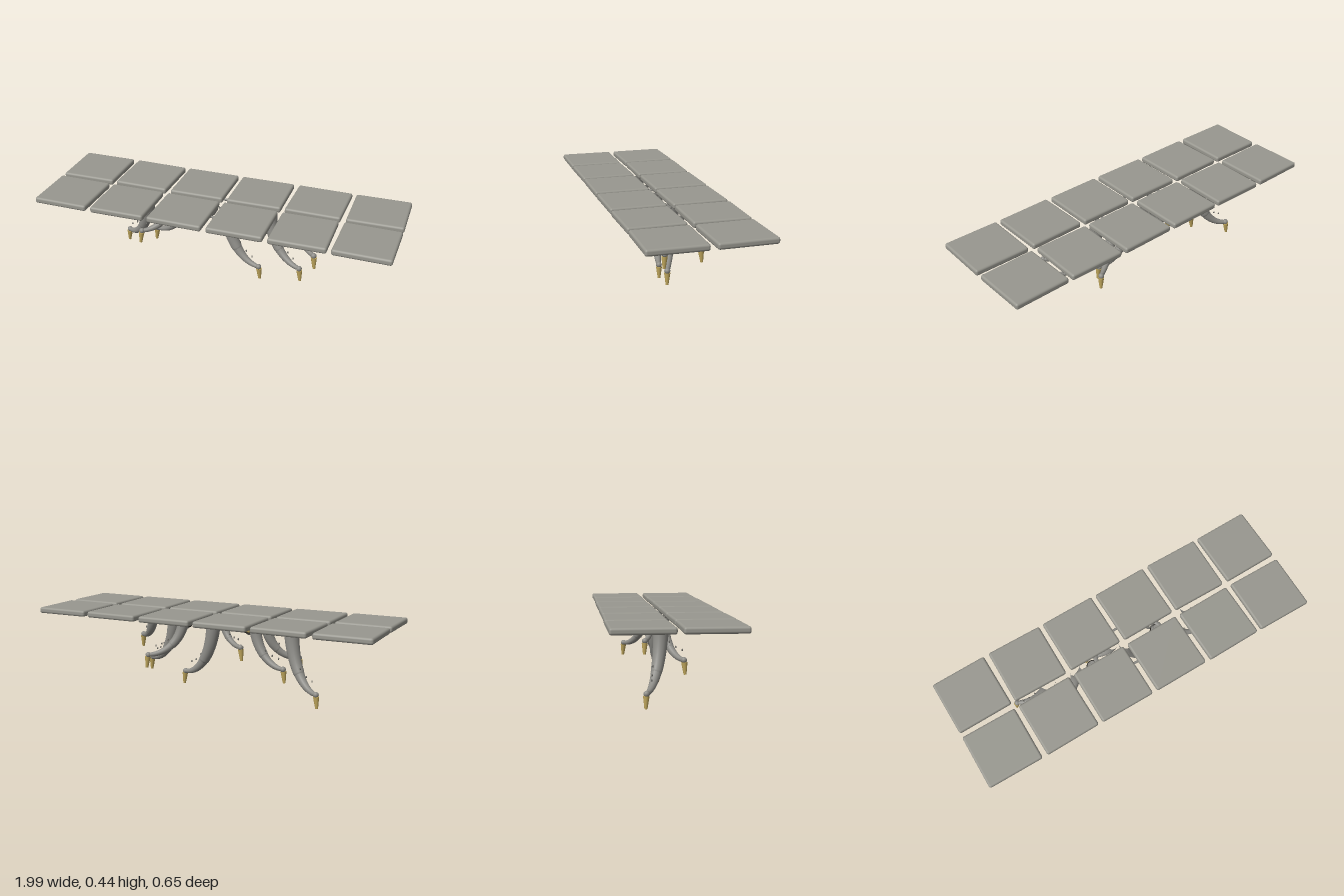
import * as THREE from 'three';
import { RoundedBoxGeometry } from 'three/addons/geometries/RoundedBoxGeometry.js';

const mat = (name, color, extra = {}) => {
  const m = new THREE.MeshStandardMaterial({ color, ...extra });
  m.name = name;
  return m;
};

export function createModel() {
  const stone = mat('stone', 0x98978f);
  const skin = mat('greySkin', 0x8d8c87);
  const gold = mat('goldClaw', 0xbfa65c);
  const dark = mat('darkCrack', 0x24211c);
  const bead = mat('beadGrey', 0x6f6e69);

  const root = new THREE.Group();
  root.name = 'floatingSlabs';
  const add = (parent, name, geo, material, x = 0, y = 0, z = 0) => {
    const m = new THREE.Mesh(geo, material);
    m.name = name;
    m.position.set(x, y, z);
    parent.add(m);
    return m;
  };
  let seed = 7;
  const rand = () => (seed = (seed * 16807) % 2147483647) / 2147483647;

  // Two rows of six slabs, with cracks and pebbles underneath
  const slabGeo = new RoundedBoxGeometry(0.31, 0.034, 0.308, 2, 0.012);
  const twist = [0.01, -0.014, 0.006, 0.012, -0.01, 0.014, -0.008, 0.01, -0.004, 0.006, 0.014, -0.01];
  for (let row = 0; row < 2; row++) {
    for (let i = 0; i < 6; i++) {
      const slab = new THREE.Group();
      slab.name = 'slab';
      slab.position.set(-0.838 + i * 0.3355, 0.429, row ? 0.167 : -0.171);
      slab.rotation.y = twist[row * 6 + i];
      root.add(slab);
      add(slab, 'slabBody', slabGeo, stone);
      // Zigzag crack
      let angle = rand() * Math.PI, x = -0.06 * Math.cos(angle), z = -0.06 * Math.sin(angle);
      for (let k = 0; k < 3; k++) {
        const len = 0.035 + rand() * 0.02;
        const dx = Math.cos(angle) * len, dz = Math.sin(angle) * len;
        const c = add(slab, 'crack', new THREE.BoxGeometry(len + 0.004, 0.004, 0.006), dark, x + dx / 2, -0.0185, z + dz / 2);
        c.rotation.y = -angle;
        x += dx; z += dz;
        angle += rand() - 0.5;
      }
      for (let k = 0; k < 3; k++) {
        const p = add(slab, 'pebble', new THREE.SphereGeometry(0.008, 8, 6), bead, (rand() - 0.5) * 0.22, -0.018, (rand() - 0.5) * 0.22);
        p.scale.y = 0.5;
      }
    }
  }

  // Arm: tapered tube along a quarter ellipse, in two sections, ending in a claw
  const arm = (name, start, tip, r) => {
    const g = new THREE.Group();
    g.name = name;
    root.add(g);
    const a = new THREE.Vector3(...start), t = new THREE.Vector3(...tip);
    const out = t.clone().sub(a).setY(0).normalize();
    const wrist = t.clone().addScaledVector(out, -0.006).setY(t.y + 0.074);
    const at = (u) => {
      const h = 1 - Math.cos(u * Math.PI / 2), v = Math.sin(u * Math.PI / 2);
      return new THREE.Vector3(a.x + (wrist.x - a.x) * h, a.y + (wrist.y - a.y) * v, a.z + (wrist.z - a.z) * h);
    };
    const section = (label, u0, u1, r0, r1) => {
      const pts = [];
      for (let i = 0; i <= 6; i++) pts.push(at(u0 + (u1 - u0) * i / 6));
      const curve = new THREE.CatmullRomCurve3(pts), n = 10, sides = 16;
      const geo = new THREE.TubeGeometry(curve, n, 1, sides);
      const pos = geo.attributes.position, v = new THREE.Vector3();
      for (let i = 0; i <= n; i++) {
        const c = curve.getPointAt(i / n), rad = r0 + (r1 - r0) * i / n;
        for (let j = 0; j <= sides; j++) {
          const k = i * (sides + 1) + j;
          v.fromBufferAttribute(pos, k).sub(c).multiplyScalar(rad).add(c);
          pos.setXYZ(k, v.x, v.y, v.z);
        }
      }
      add(g, label, geo, skin);
    };
    section('upperArm', 0, 0.52, r, r * 0.7);
    section('forearm', 0.52, 1, r * 0.66, 0.011);
    const e = at(0.52);
    add(g, 'elbow', new THREE.SphereGeometry(r * 0.69, 16, 10), skin, e.x, e.y, e.z);
    add(g, 'wrist', new THREE.SphereGeometry(0.016, 14, 10), skin, wrist.x, wrist.y, wrist.z);
    // Blunt claw pointing down
    const claw = add(g, 'claw', new THREE.CylinderGeometry(0.0165, 0.0075, 0.064, 14), gold, t.x, t.y + 0.032, t.z);
    claw.rotation.set(-out.z * 0.1, 0, out.x * 0.1);
    // Hovering beads above the forearm
    [0.6, 0.75, 0.88].forEach((u, i) => {
      const p = at(u);
      const b = add(g, 'bead', new THREE.SphereGeometry(0.006, 8, 6), bead, p.x, p.y + r + 0.012, p.z + (i - 1) * 0.012);
      b.scale.set(0.7, 1.1, 0.7);
    });
  };
  arm('armFarRight', [-0.46, 0.415, -0.03], [-0.645, 0.002, -0.125], 0.043);
  arm('armRightFront', [-0.3, 0.415, 0.0], [-0.465, 0.138, 0.092], 0.033);
  arm('armRightBack', [-0.235, 0.415, -0.01], [-0.425, 0.096, -0.043], 0.036);
  arm('armInnerRight', [-0.055, 0.415, -0.03], [-0.19, 0.203, -0.088], 0.026);
  arm('armCentre', [0.02, 0.415, -0.01], [0.23, 0.002, 0.03], 0.043);
  arm('armLeftBack', [0.19, 0.415, -0.05], [0.365, 0.122, -0.165], 0.035);
  arm('armLeftFront', [0.27, 0.415, -0.02], [0.47, 0.056, 0.058], 0.039);
  arm('armFarLeft', [0.41, 0.415, -0.02], [0.555, 0.18, 0.1], 0.033);

  // Thin oval ring under the slabs
  const ring = add(root, 'underRing', new THREE.TorusGeometry(0.112, 0.007, 8, 40), skin, 0.03, 0.394, 0.004);
  ring.rotation.x = Math.PI / 2;
  ring.scale.x = 1.8;

  // Hanging eyes with gold iris, slit pupil and heavy lids
  for (const x of [-0.2, 0.205]) {
    const eye = new THREE.Group();
    eye.name = 'eye';
    eye.position.set(x, 0.363, 0.004);
    root.add(eye);
    add(eye, 'eyeball', new THREE.SphereGeometry(0.027, 18, 12), gold);
    const pupil = add(eye, 'pupil', new THREE.SphereGeometry(0.008, 10, 8), dark, 0, 0, 0.025);
    pupil.scale.set(2, 0.7, 0.5);
    add(eye, 'upperLid', new THREE.SphereGeometry(0.031, 18, 6, 0, Math.PI * 2, 0, 1.15), skin);
    add(eye, 'lowerLid', new THREE.SphereGeometry(0.031, 18, 6, 0, Math.PI * 2, 2.1, Math.PI - 2.1), skin);
    for (const y of [-0.014, 0.012]) {
      const rim = add(eye, 'lidRim', new THREE.TorusGeometry(0.029, 0.0035, 6, 24), dark, 0, y, 0);
      rim.rotation.x = Math.PI / 2;
    }
    add(eye, 'eyeStalk', new THREE.CylinderGeometry(0.012, 0.012, 0.04, 12), skin, 0, 0.035, 0);
  }
  return root;
}
